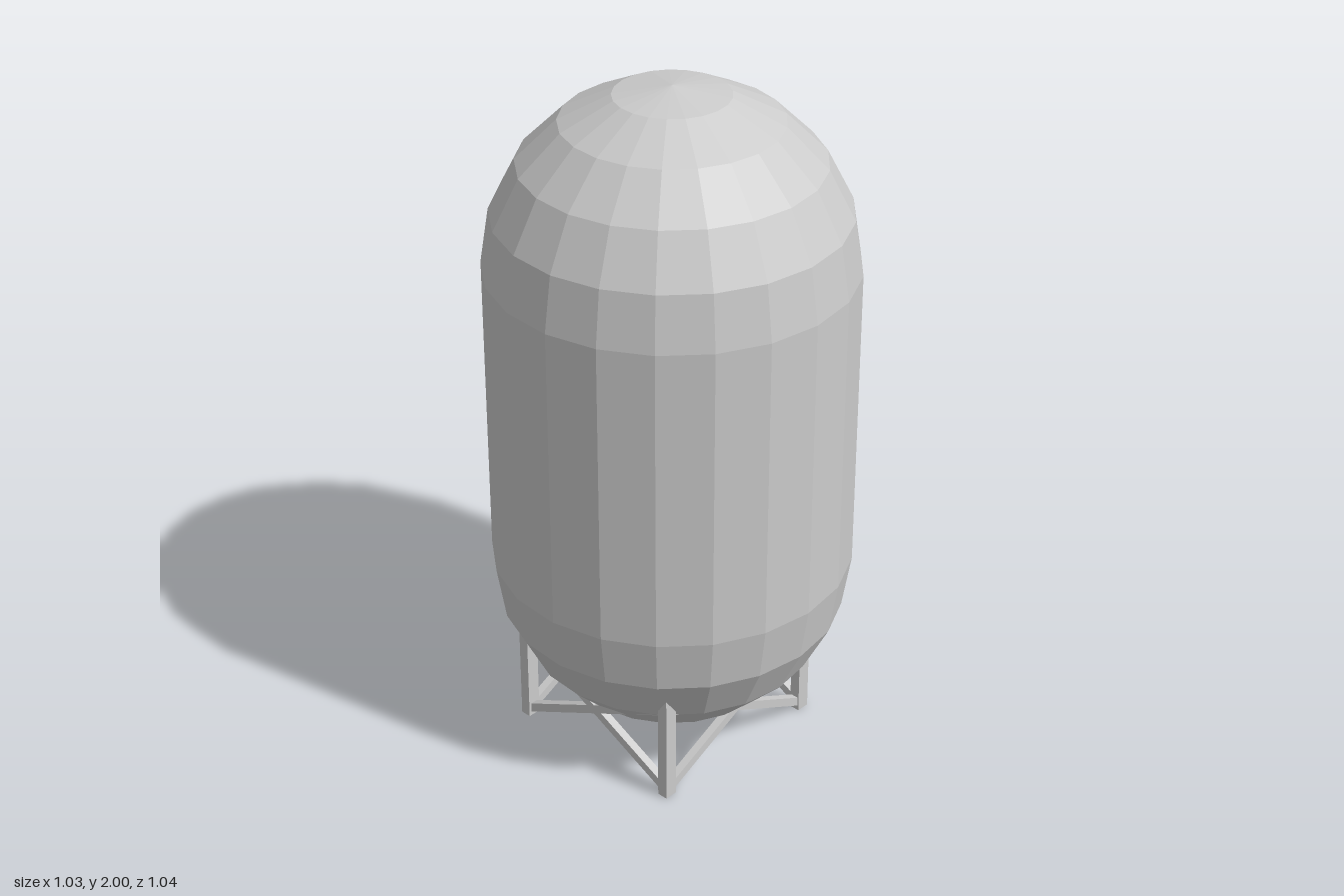
import * as THREE from 'three';

export function createModel() {
  const model = new THREE.Group();
  model.name = 'verticalTank';
  const material = new THREE.MeshStandardMaterial({ color: 0xcccccc, flatShading: true });

  // Capsule tank: domed bottom, straight wall, domed top
  const radius = 0.519, lowY = 0.575, highY = 1.481, rings = 5, sides = 21;
  const profile = [];
  for (const [centreY, start] of [[lowY, -Math.PI / 2], [highY, 0]]) {
    for (let i = 0; i <= rings; i++) {
      const a = start + (i / rings) * Math.PI / 2;
      profile.push(new THREE.Vector2(Math.max(0, radius * Math.cos(a)), centreY + radius * Math.sin(a)));
    }
  }
  const tank = new THREE.Mesh(new THREE.LatheGeometry(profile, sides, Math.PI / 2), material);
  tank.name = 'tank';
  tank.position.x = -0.003;
  model.add(tank);

  // Stand: four legs whose tops run into the lower dome
  const stand = new THREE.Group();
  stand.name = 'stand';
  model.add(stand);
  const corners = [[0.28, 0.32], [-0.28, 0.32], [-0.28, -0.25], [0.28, -0.25]];
  const legHeight = 0.34;
  for (const [x, z] of corners) {
    const leg = new THREE.Mesh(new THREE.BoxGeometry(0.032, legHeight, 0.04), material);
    leg.name = 'leg';
    leg.position.set(x, legHeight / 2, z);
    stand.add(leg);
  }

  // Crossed braces on every side, from one foot to the top of the next leg
  function addBrace([x0, z0], [x1, z1]) {
    const from = new THREE.Vector3(x0, 0.02, z0);
    const to = new THREE.Vector3(x1, 0.296, z1);
    const brace = new THREE.Mesh(new THREE.BoxGeometry(0.024, 0.026, from.distanceTo(to)), material);
    brace.name = 'brace';
    brace.position.copy(from).lerp(to, 0.5);
    brace.lookAt(to);
    stand.add(brace);
  }
  corners.forEach((corner, i) => {
    const next = corners[(i + 1) % corners.length];
    addBrace(corner, next);
    addBrace(next, corner);
  });

  return model;
}
